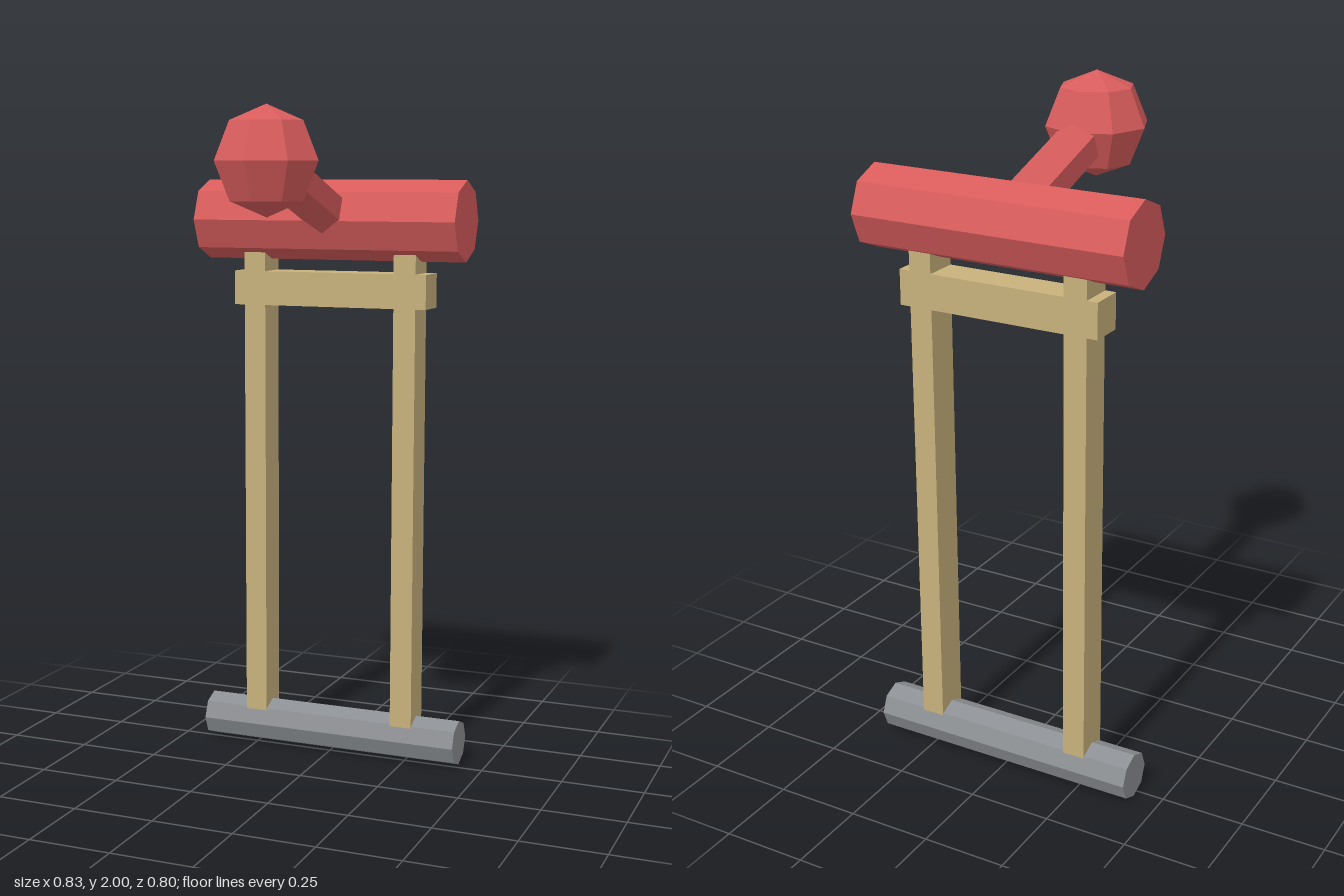
import * as THREE from 'three';

export function createModel() {
  const model = new THREE.Group();
  const material = (name, color) => {
    const m = new THREE.MeshStandardMaterial({ color, flatShading: true });
    m.name = name;
    return m;
  };
  const red = material('red', 0xd85c5c);
  const tan = material('tan', 0xc8b27c);
  const grey = material('grey', 0x8c8f93);

  const add = (name, geometry, mat, x, y, z) => {
    const mesh = new THREE.Mesh(geometry, mat);
    mesh.name = name;
    mesh.position.set(x, y, z);
    model.add(mesh);
    return mesh;
  };

  const backZ = -0.277, rollerY = 1.672, length = 0.834;
  const ballY = 1.846, ballZ = 0.244;

  // Horizontal eight-sided rollers at the top and the foot
  const roller = (name, radius, mat, y) => {
    const g = new THREE.CylinderGeometry(radius, radius, length, 8).rotateZ(Math.PI / 2);
    add(name, g, mat, 0, y, backZ);
  };
  roller('topRoller', 0.121, red, rollerY);
  roller('footBar', 0.07, grey, 0.07);

  // Two posts running into both rollers, joined by a crossbar
  for (const side of [-1, 1]) {
    add(side > 0 ? 'leftPost' : 'rightPost',
      new THREE.BoxGeometry(0.069, 1.56, 0.104), tan, side * 0.243, 0.85, backZ);
  }
  add('crossbar', new THREE.BoxGeometry(0.62, 0.104, 0.104), tan, 0, 1.463, backZ);

  // Six-sided arm sloping up from the top roller to the ball
  const dy = ballY - rollerY, dz = ballZ - backZ;
  const arm = add('arm', new THREE.CylinderGeometry(0.069, 0.069, Math.hypot(dy, dz), 6), red,
    0, (ballY + rollerY) / 2, (ballZ + backZ) / 2);
  arm.rotation.x = Math.atan2(dz, dy);

  // Faceted ball at the end of the arm
  add('ball', new THREE.SphereGeometry(0.154, 8, 4), red, 0, ballY, ballZ);

  return model;
}
